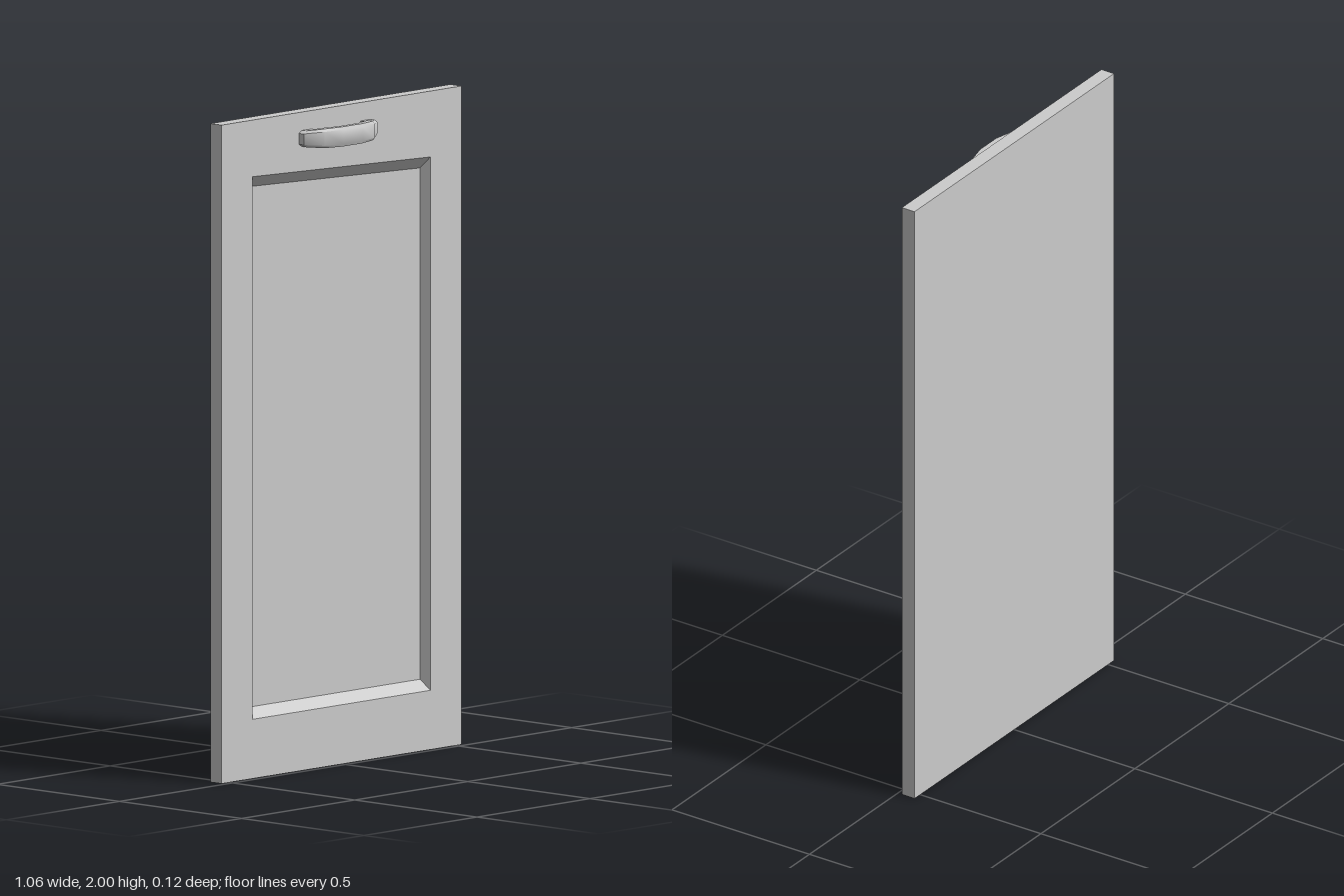
import * as THREE from 'three';
import { toCreasedNormals } from 'three/addons/utils/BufferGeometryUtils.js';

// Joins successive closed rings of points with quads
function loft(rings, capped, crease) {
  const n = rings[0].length;
  const index = [];
  for (let r = 0; r < rings.length - 1; r++) {
    for (let i = 0; i < n; i++) {
      const j = (i + 1) % n;
      const a = r * n + i, b = r * n + j, c = b + n, d = a + n;
      index.push(a, b, c, a, c, d);
    }
  }
  if (capped) {
    const last = (rings.length - 1) * n;
    for (let i = 1; i < n - 1; i++) {
      index.push(0, i + 1, i);
      index.push(last, last + i, last + i + 1);
    }
  }
  const geometry = new THREE.BufferGeometry();
  geometry.setAttribute('position', new THREE.Float32BufferAttribute(rings.flat(2), 3));
  geometry.setIndex(index);
  return toCreasedNormals(geometry, crease);
}

// Four-cornered ring; the two top corners may differ in height
const ring = (x0, x1, y0, topLeft, topRight, z) =>
  [[x0, y0, z], [x1, y0, z], [x1, topRight, z], [x0, topLeft, z]];

export function createModel() {
  const group = new THREE.Group();
  const material = new THREE.MeshStandardMaterial({ color: 0xcccccc });
  const back = -0.061, front = -0.015, recess = -0.045;

  // Door slab with a bevelled recess whose top edge slopes
  const door = new THREE.Mesh(loft([
    ring(-0.532, 0.53, 0, 2, 2, back),
    ring(-0.532, 0.53, 0, 2, 2, front),
    ring(-0.396, 0.392, 0.18, 1.828, 1.8, front),
    ring(-0.381, 0.378, 0.212, 1.793, 1.765, recess),
  ], true, 0.1), material);
  door.name = 'doorPanel';
  group.add(door);

  // Bow handle: outer x, outer z, inner x, inner z, half height
  const half = [
    [0.1625, front, 0.111, front, 0.024],
    [0.1625, 0.006, 0.108, 0.0, 0.025],
    [0.111, 0.043, 0.099, 0.017, 0.029],
    [0.043, 0.057, 0.043, 0.035, 0.03],
  ];
  const mirrored = half.map(([ox, oz, ix, iz, h]) => [-ox, oz, -ix, iz, h]);
  const stations = [...mirrored, ...half.reverse()];
  const sections = stations.map(([ox, oz, ix, iz, h]) => {
    // Point across the section: t = 0 outside, 1 inside
    const at = (t, y) => [ox + (ix - ox) * t, y, oz + (iz - oz) * t];
    return [
      at(0, h - 0.008), at(0, 0.008 - h), at(0.22, -h),
      at(1, -h), at(1, h), at(0.22, h),
    ];
  });
  const handle = new THREE.Mesh(loft(sections, true, 0.7), material);
  handle.name = 'handle';
  handle.position.set(-0.0275, 1.92, 0);
  group.add(handle);

  return group;
}
